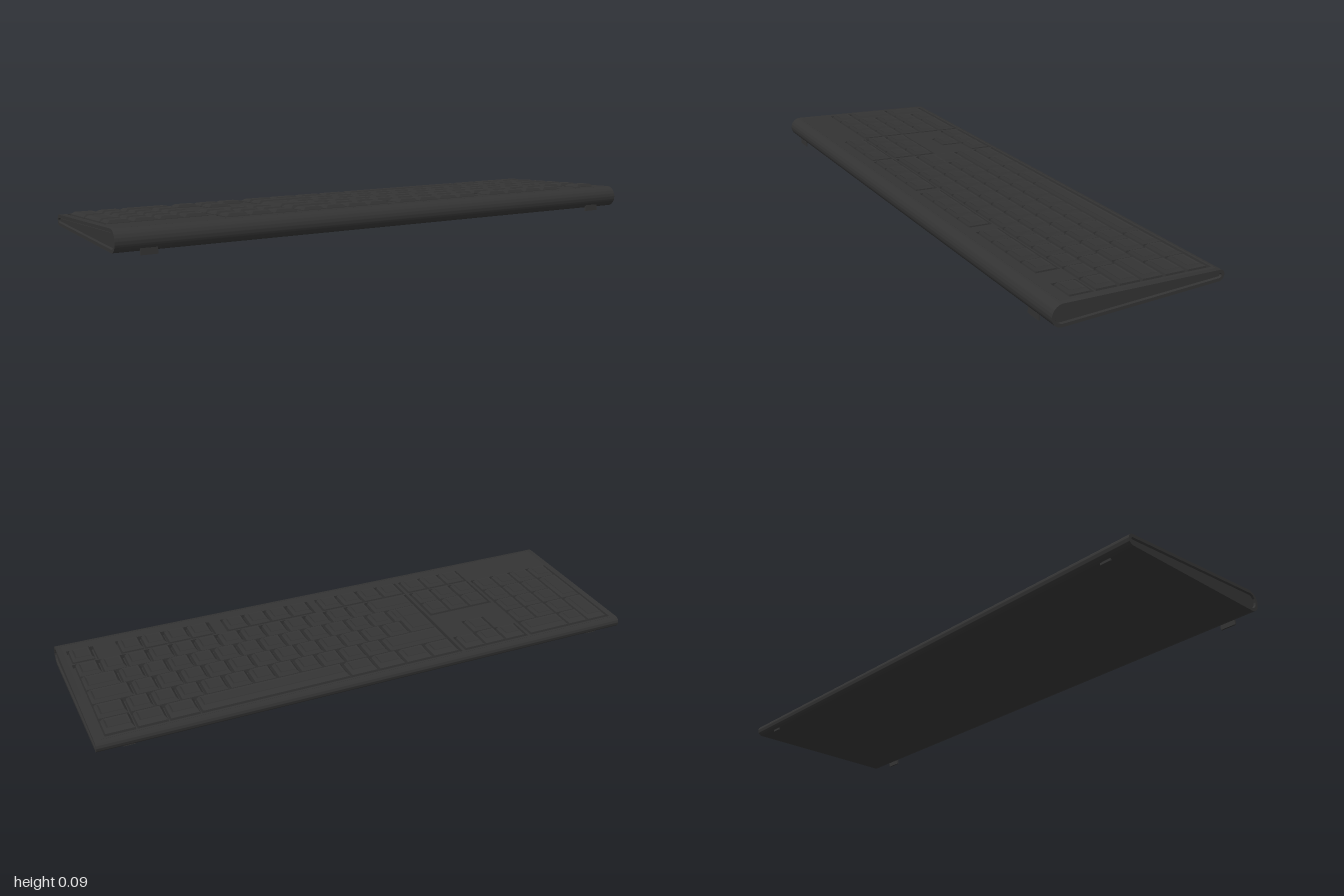
import * as THREE from 'three';
import { toCreasedNormals } from 'three/addons/utils/BufferGeometryUtils.js';

const plastic = new THREE.MeshStandardMaterial({ color: 0x333333 });
plastic.name = 'charcoal plastic';

const WELL = 0.014;          // depth of the key wells
const U = 0.086;             // width of one key unit
const END = 0.985;           // where the end caps begin
const ROW_Z = [0.198, 0.102, 0.016, -0.07, -0.157, -0.244];
const FRONT = { z: 0.2825, y: 0.0475, r: 0.0375 };
const BACK = { z: -0.3, y: 0.0295, r: 0.0195 };
const TILT = Math.atan2(0.036, FRONT.z - BACK.z);

function add(parent, geometry, name, x = 0, y = 0, z = 0) {
  const mesh = new THREE.Mesh(geometry, plastic);
  mesh.name = name;
  mesh.position.set(x, y, z);
  parent.add(mesh);
}

// Wedge outline with two round ends, inset by i, its top lowered by cut
function sideProfile(i = 0, cut = 0, ShapeType = THREE.Shape) {
  const s = new ShapeType(), f = FRONT.r - i, b = BACK.r - i;
  s.moveTo(-FRONT.z, FRONT.y - f);
  s.lineTo(-BACK.z, BACK.y - b);
  s.absarc(-BACK.z, BACK.y, b, -Math.PI / 2, Math.PI / 2, false);
  if (cut) {
    s.lineTo(-BACK.z, BACK.y + b - cut);
    s.lineTo(-FRONT.z, FRONT.y + f - cut);
  }
  s.lineTo(-FRONT.z, FRONT.y + f);
  s.absarc(-FRONT.z, FRONT.y, f, Math.PI / 2, Math.PI * 1.5, false);
  return s;
}

// Extrude a side profile along x, from x0 to x1
function alongX(shape, x0, x1) {
  const g = new THREE.ExtrudeGeometry(shape, { depth: x1 - x0, bevelEnabled: false, curveSegments: 16 });
  g.rotateY(Math.PI / 2);
  g.translate(x0, 0, 0);
  return toCreasedNormals(g, 0.5);
}

function rectangle(x0, x1, z0, z1, ShapeType) {
  const s = new ShapeType();
  s.moveTo(x0, -z1);
  s.lineTo(x1, -z1);
  s.lineTo(x1, -z0);
  s.lineTo(x0, -z0);
  s.closePath();
  return s;
}

// Tapered key cap with a shallow dished top, built from rectangular rings
function keyGeometry(w, d, slant) {
  const ring = (sx, front, back, y, backY = y) => [
    [-w / 2 + sx, y, d / 2 - front], [w / 2 - sx, y, d / 2 - front],
    [w / 2 - sx, backY, -d / 2 + back], [-w / 2 + sx, backY, -d / 2 + back],
  ];
  const rings = [
    ring(0, 0, 0, -WELL),
    ring(0.002, 0.002, 0.003, 0.001),
    ring(0.011, 0.006, slant, 0.0105, 0.0095),
    ring(0.017, 0.013, slant + 0.006, 0.0075),
  ];
  const index = [];
  for (let r = 0; r < rings.length - 1; r++) {
    for (let k = 0; k < 4; k++) {
      const a = r * 4 + k, b = r * 4 + (k + 1) % 4;
      index.push(a, b, b + 4, a, b + 4, a + 4);
    }
  }
  index.push(12, 13, 14, 12, 14, 15);
  const g = new THREE.BufferGeometry();
  g.setAttribute('position', new THREE.Float32BufferAttribute(rings.flat(2), 3));
  g.setIndex(index);
  const flat = g.toNonIndexed();
  flat.computeVertexNormals();
  return flat;
}

export function createModel() {
  const model = new THREE.Group();
  model.name = 'keyboard';

  // Wedge-shaped case, lowered where the deck sits
  add(model, alongX(sideProfile(0, WELL), -END, END), 'case');

  // End caps: outer rim, recessed groove and raised inner panel
  for (const side of [-1, 1]) {
    const span = (a, b) => (side > 0 ? [a, b] : [-b, -a]);
    const rim = sideProfile();
    rim.holes.push(sideProfile(0.011, 0, THREE.Path));
    add(model, alongX(rim, ...span(END, 1)), 'endRim');
    add(model, alongX(sideProfile(), ...span(END - 0.004, END + 0.003)), 'endWall');
    add(model, alongX(sideProfile(0.0145), ...span(END, 0.994)), 'endPanel');
  }

  // Sloping deck with wells for the key blocks
  const top = new THREE.Group();
  top.name = 'deckAndKeys';
  top.rotation.x = -TILT;
  top.position.y = 0.085 - FRONT.z * Math.tan(TILT);
  model.add(top);

  const deck = rectangle(-END, END, BACK.z, FRONT.z, THREE.Shape);
  const wells = [
    [-0.976, -0.622, -0.291, 0.148],
    [-0.61, -0.344, -0.03, 0.148],
    [-0.332, 0.97, -0.291, 0.148],
    [-0.61, -0.344, 0.154, 0.242],
    [-0.332, 0.02, 0.154, 0.242],
    [0.049, 0.401, 0.154, 0.242],
    [0.444, 0.796, 0.154, 0.242],
    [0.875, 0.97, 0.154, 0.242],
  ];
  for (const w of wells) deck.holes.push(rectangle(...w, THREE.Path));
  // T-shaped well for the arrow keys
  const arrows = new THREE.Path();
  arrows.setFromPoints([
    [-0.61, 0.291], [-0.344, 0.291], [-0.344, 0.198], [-0.43, 0.198],
    [-0.43, 0.112], [-0.524, 0.112], [-0.524, 0.198], [-0.61, 0.198],
  ].map(([x, y]) => new THREE.Vector2(x, y)));
  arrows.closePath();
  deck.holes.push(arrows);
  const deckGeometry = new THREE.ExtrudeGeometry(deck, { depth: WELL, bevelEnabled: false });
  deckGeometry.rotateX(-Math.PI / 2);
  add(top, deckGeometry, 'deck', 0, -WELL, 0);

  // One key starting at x0, optionally reaching over two rows
  function key(name, x0, row, units = 1, lastRow = row) {
    const w = units * U, zc = (ROW_Z[row] + ROW_Z[lastRow]) / 2;
    const d = 0.079 + ROW_Z[row] - ROW_Z[lastRow];
    const slant = lastRow === 5 ? 0.022 : 0.014;
    add(top, keyGeometry(w - 0.006, d, slant), name, x0 + w / 2, 0, zc);
  }
  function keyRow(name, x0, row, widths) {
    for (const u of widths) {
      key(name, x0, row, u);
      x0 += u * U;
    }
  }
  const ones = (n) => Array(n).fill(1);

  // Separate row along the front
  for (const x of [-0.328, 0.053, 0.448]) keyRow('topRowKey', x, 0, ones(4));
  key('cornerKey', 0.88, 0);
  keyRow('systemKey', -0.606, 0, ones(3));

  // Main block
  const M = -0.326;
  keyRow('numberRowKey', M, 1, [2, ...ones(13)]);
  keyRow('letterKey', M + 1.5 * U, 2, [...ones(12), 1.5]);
  keyRow('letterKey', M + 1.25 * U, 3, [...ones(12), 1.75]);
  keyRow('letterKey', M, 4, [2.75, ...ones(11), 1.25]);
  keyRow('spaceRowKey', M, 5, [1.25, 1.25, 1.25, 1.25, 6.25, 1.25, 1.25, 1.25]);
  key('enterKeyStem', M, 2, 1.25, 3);
  key('enterKeyHead', M, 2, 1.5);

  // Navigation block and arrows
  for (const row of [1, 2]) keyRow('navigationKey', -0.606, row, ones(3));
  keyRow('arrowKey', -0.606, 5, ones(3));
  key('arrowKey', -0.606 + U, 4);

  // Number pad
  const P = -0.97;
  keyRow('padKey', P, 1, ones(4));
  for (const row of [2, 3, 4]) keyRow('padKey', P + U, row, ones(3));
  keyRow('padKey', P + U, 5, [1, 2]);
  key('padTallKey', P, 2, 1, 3);
  key('padTallKey', P, 4, 1, 5);

  // Small feet under the front and back edges
  for (const x of [-0.89, 0.89]) {
    add(model, new THREE.BoxGeometry(0.056, 0.022, 0.006), 'frontFoot', x, 0.011, 0.307);
    add(model, new THREE.BoxGeometry(0.04, 0.012, 0.004), 'backFoot', x, 0.008, -0.297);
  }
  return model;
}
